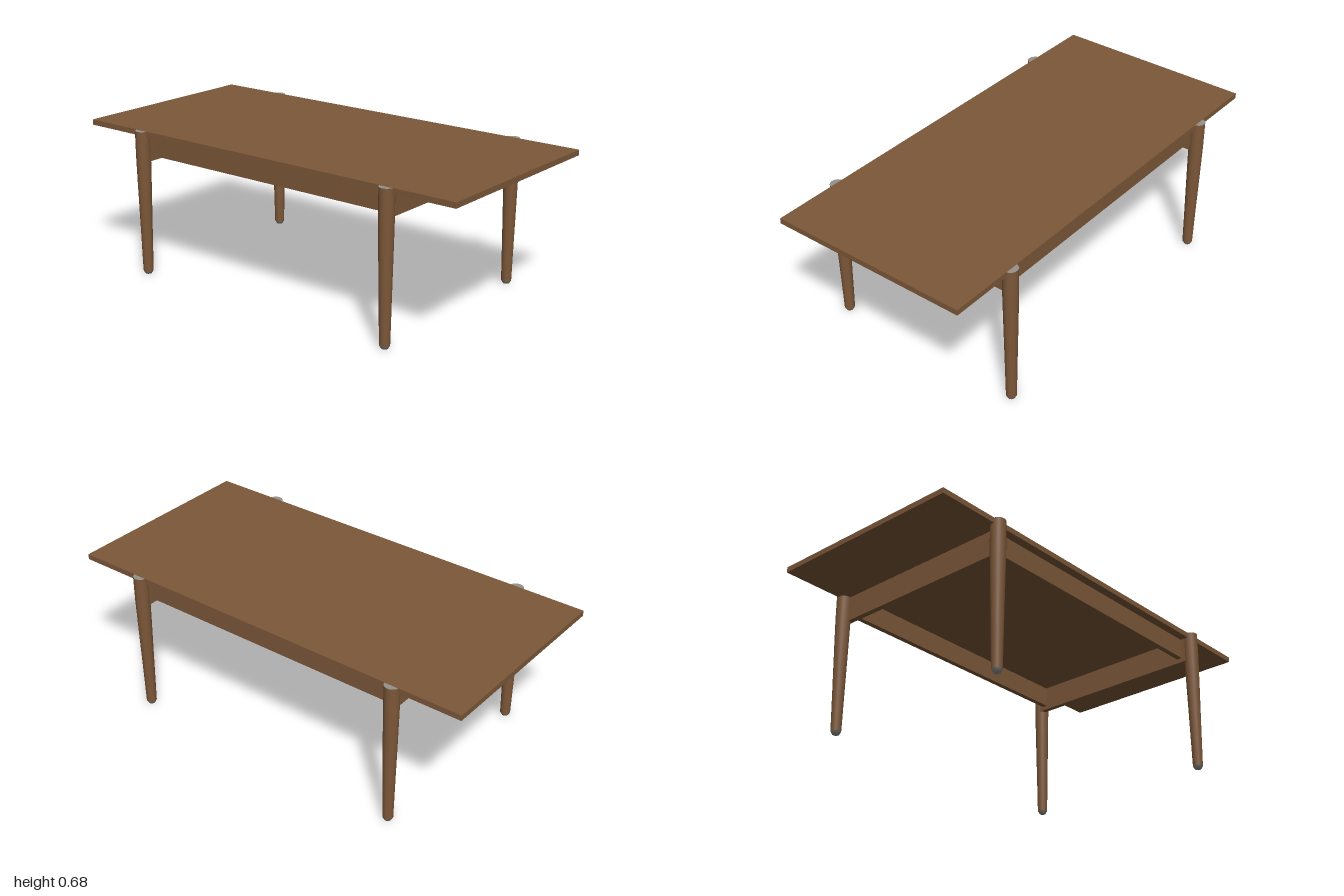
import * as THREE from 'three';

export function createModel() {
  const wood = new THREE.MeshStandardMaterial({ color: 0x7d5839 });
  wood.name = 'brown wood';
  const grey = new THREE.MeshStandardMaterial({ color: 0x96928c });
  grey.name = 'grey end caps';

  const table = new THREE.Group();
  table.name = 'table';

  const add = (name, geometry, material, x, y, z, parent = table) => {
    const mesh = new THREE.Mesh(geometry, material);
    mesh.name = name;
    mesh.position.set(x, y, z);
    parent.add(mesh);
    return mesh;
  };
  const lathe = (points) =>
    new THREE.LatheGeometry(points.map(([r, y]) => new THREE.Vector2(r, y)), 16);

  // Thin overhanging top
  add('tableTop', new THREE.BoxGeometry(2, 0.025, 0.94), wood, 0, 0.6675, 0);

  // Long aprons sit just inside the legs, the deeper side aprons run between them
  const longApron = new THREE.BoxGeometry(1.3, 0.097, 0.025);
  const sideApron = new THREE.BoxGeometry(0.025, 0.117, 0.9);
  for (const s of [-1, 1]) {
    add(s > 0 ? 'frontApron' : 'backApron', longApron, wood, 0, 0.6075, s * 0.418);
    add(s > 0 ? 'leftApron' : 'rightApron', sideApron, wood, s * 0.658, 0.5975, 0);
  }

  // Tapered round legs with grey feet and grey top discs
  const shaft = lathe([[0.023, 0.014], [0.0265, 0.2], [0.031, 0.42], [0.0335, 0.56], [0.0335, 0.679]]);
  const foot = lathe([[0, 0], [0.015, 0], [0.023, 0.014]]);
  const disc = new THREE.CircleGeometry(0.0335, 16).rotateX(-Math.PI / 2);
  for (const x of [-1, 1]) {
    for (const z of [-1, 1]) {
      const leg = new THREE.Group();
      leg.name = (z > 0 ? 'front' : 'back') + (x > 0 ? 'Left' : 'Right') + 'Leg';
      leg.position.set(x * 0.677, 0, z * 0.464);
      add('legShaft', shaft, wood, 0, 0, 0, leg);
      add('legFoot', foot, grey, 0, 0, 0, leg);
      add('legTopDisc', disc, grey, 0, 0.679, 0, leg);
      table.add(leg);
    }
  }
  return table;
}
